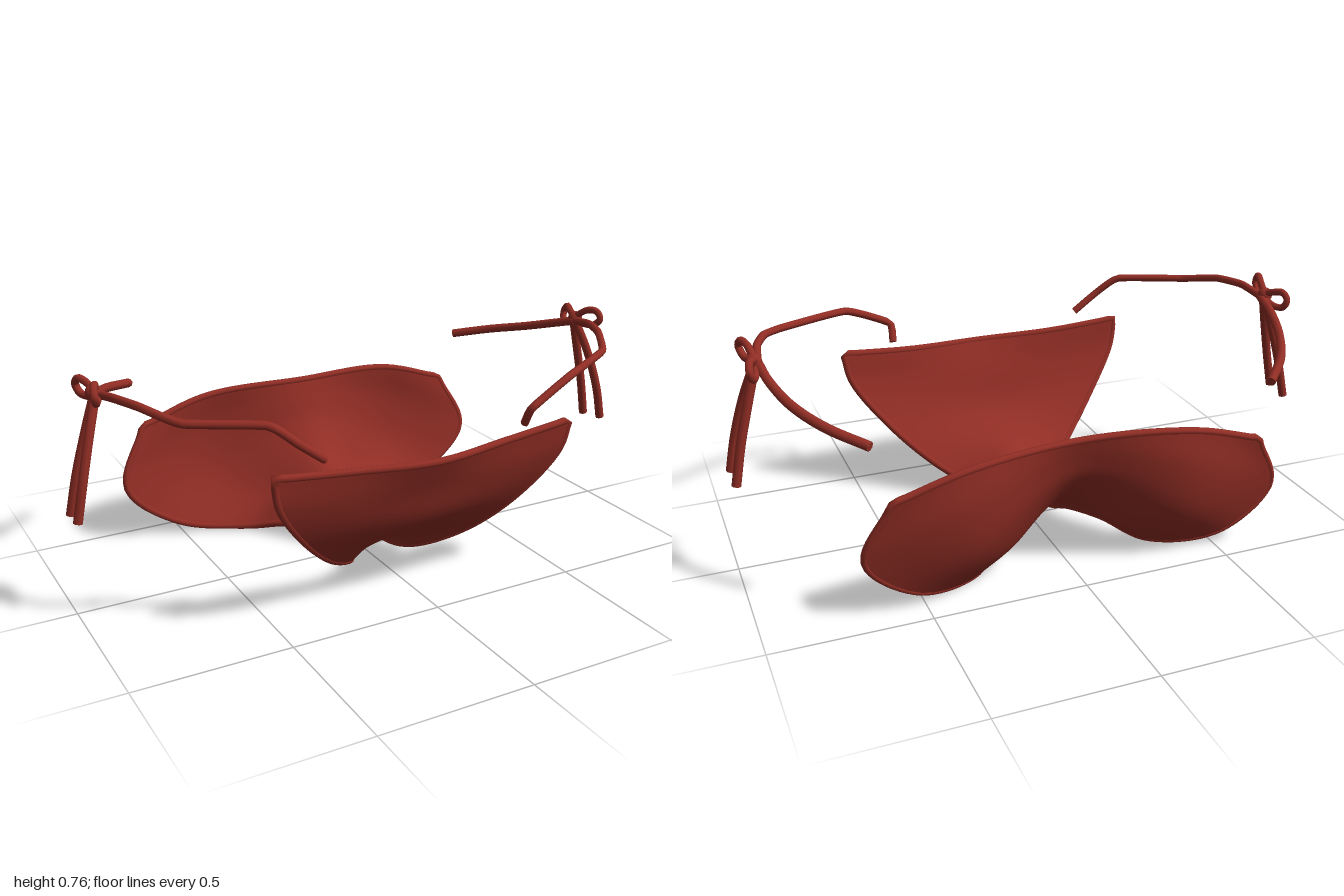
import * as THREE from 'three';

const V = (p) => new THREE.Vector3(...p);

// Half cross-sections from front waist, under the crotch, to back waist: centre, middle, edge
const SECTIONS = [
  [[0, .49, .485], [.27, .50, .455], [.52, .52, .44]],
  [[0, .39, .44], [.26, .39, .43], [.50, .42, .425]],
  [[0, .26, .385], [.20, .26, .375], [.385, .255, .36]],
  [[0, .18, .28], [.13, .165, .28], [.25, .125, .265]],
  [[0, .13, .15], [.065, .10, .15], [.115, .045, .14]],
  [[0, .10, 0], [.05, .075, 0], [.08, .03, 0]],
  [[0, .125, -.09], [.07, .095, -.09], [.115, .055, -.08]],
  [[0, .18, -.19], [.12, .13, -.20], [.19, .055, -.19]],
  [[0, .235, -.31], [.20, .10, -.34], [.30, .018, -.32]],
  [[0, .34, -.40], [.33, .18, -.46], [.52, .05, -.41]],
  [[0, .42, -.43], [.37, .34, -.495], [.685, .20, -.435]],
  [[0, .485, -.45], [.36, .47, -.485], [.60, .40, -.475]],
];
const NU = 28, NV = 55;

// Smooth grid of points through the sections
function panelGrid() {
  const columns = [0, 1, 2].map((c) => new THREE.CatmullRomCurve3(SECTIONS.map((s) => V(s[c]))));
  const grid = [];
  for (let j = 0; j <= NV; j++) {
    const [c, m, e] = columns.map((k) => k.getPoint(j / NV));
    const flip = (p) => new THREE.Vector3(-p.x, p.y, p.z);
    const row = new THREE.CatmullRomCurve3([flip(e), flip(m), c, m, e]);
    grid.push(row.getPoints(NU));
  }
  return grid;
}

// One face of the cloth, pushed outward or inward along its normals
function sheet(grid, offset) {
  const geo = new THREE.BufferGeometry().setFromPoints(grid.flat());
  const index = [], w = NU + 1;
  for (let j = 0; j < NV; j++) for (let i = 0; i < NU; i++) {
    const a = j * w + i, b = a + 1, c = a + w, d = c + 1;
    index.push(a, c, b, b, c, d);
  }
  geo.setIndex(index);
  geo.computeVertexNormals();
  const p = geo.attributes.position, n = geo.attributes.normal;
  for (let i = 0; i < p.count; i++) {
    p.setXYZ(i, p.getX(i) + n.getX(i) * offset, p.getY(i) + n.getY(i) * offset, p.getZ(i) + n.getZ(i) * offset);
  }
  if (offset < 0) {
    for (let i = 0; i < index.length; i += 3) [index[i + 1], index[i + 2]] = [index[i + 2], index[i + 1]];
    geo.setIndex(index);
    geo.computeVertexNormals();
  }
  return geo;
}

export function createModel() {
  const model = new THREE.Group();
  const cloth = new THREE.MeshStandardMaterial({ color: 0x922e25 });
  cloth.name = 'red cloth';

  const add = (parent, name, geo) => {
    const mesh = new THREE.Mesh(geo, cloth);
    mesh.name = name;
    parent.add(mesh);
    return mesh;
  };

  // Cord with closed ends
  const cord = (parent, name, points, radius, closed = false, tension = 0.5) => {
    const pts = points.map(V);
    const curve = new THREE.CatmullRomCurve3(pts, closed, 'catmullrom', tension);
    add(parent, name, new THREE.TubeGeometry(curve, pts.length * 6, radius, 8, closed));
    if (closed) return;
    for (const t of [0, 1]) {
      const cap = add(parent, name + 'End', new THREE.CircleGeometry(radius, 8));
      const dir = curve.getTangent(t).multiplyScalar(t ? 1 : -1);
      cap.position.copy(curve.getPoint(t));
      cap.quaternion.setFromUnitVectors(new THREE.Vector3(0, 0, 1), dir);
    }
  };

  // Cloth panel with a rolled hem
  const grid = panelGrid();
  add(model, 'outerPanel', sheet(grid, 0.009));
  add(model, 'innerPanel', sheet(grid, -0.009));
  const rim = [
    ...grid[0].slice(0, NU),
    ...grid.slice(0, NV).map((r) => r[NU]),
    ...grid[NV].slice(1).reverse(),
    ...grid.slice(1).reverse().map((r) => r[0]),
  ];
  const hem = new THREE.CatmullRomCurve3(rim, true);
  add(model, 'hem', new THREE.TubeGeometry(hem, 260, 0.012, 8, true));

  // Side strings, each tied in a bow
  for (const s of [1, -1]) {
    const side = new THREE.Group();
    side.name = s > 0 ? 'leftTie' : 'rightTie';
    model.add(side);
    const at = (pts) => pts.map(([x, y, z]) => [x * s, y, z]);
    const start = s > 0
      ? [[.34, .54, .445], [.34, .60, .478], [.50, .672, .452]]
      : [[.37, .56, .465], [.45, .62, .46], [.53, .68, .43]];
    cord(side, 'frontString', [...at(start),
      ...at([[.74, .687, .32], [.82, .713, .2], [.86, .715, .1], [.875, .70, 0]])], .013, false, .2);
    cord(side, 'backString', at([[.875, .70, 0], [.86, .67, -.1], [.82, .635, -.22],
      [.75, .605, -.34], [.65, .575, -.445]]), .015);
    cord(side, 'frontLoop', at([[.885, .705, -.01], [.895, .742, .035], [.91, .748, .075],
      [.915, .722, .095], [.905, .697, .07], [.89, .695, .03]]), .012, true);
    cord(side, 'backLoop', at([[.885, .705, -.01], [.895, .725, -.05], [.91, .732, -.085],
      [.915, .71, -.108], [.905, .682, -.095], [.89, .682, -.05]]), .012, true);
    cord(side, 'frontTail', at([[.885, .70, -.005], [.925, .58, .03], [.96, .45, .05], [.985, .33, .052]]), .015);
    cord(side, 'backTail', at([[.885, .70, -.015], [.92, .58, -.025], [.955, .45, -.033], [.982, .32, -.04]]), .015);
    const knot = add(side, 'knot', new THREE.SphereGeometry(.026, 12, 8));
    knot.position.set(.888 * s, .705, -.01);
  }
  return model;
}
